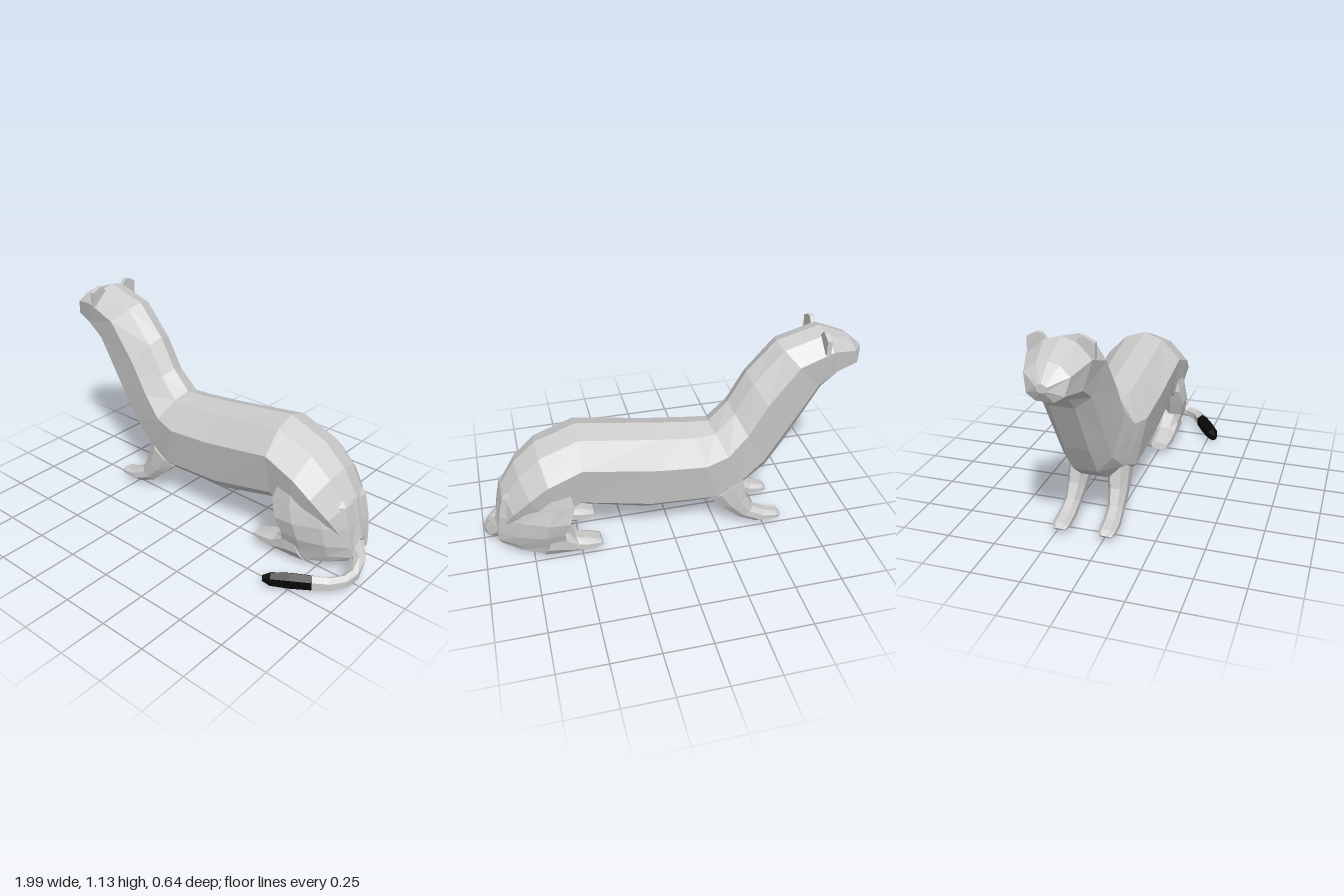
import * as THREE from 'three';

const MID = -0.1; // z of the body's midline
const grey = new THREE.MeshStandardMaterial({ color: 0xcccccc, flatShading: true });
const black = new THREE.MeshStandardMaterial({ color: 0x080808, flatShading: true });

// Closed skin over equal-length rings of Vector3, capped at both ends
function loft(name, rings, material = grey) {
  const n = rings[0].length, pos = [], idx = [];
  rings.forEach(r => r.forEach(p => pos.push(p.x, p.y, p.z)));
  for (let i = 0; i < rings.length - 1; i++) {
    for (let j = 0; j < n; j++) {
      const a = i * n + j, b = i * n + (j + 1) % n;
      idx.push(a, b, a + n, b, b + n, a + n);
    }
  }
  const last = (rings.length - 1) * n;
  for (let j = 1; j < n - 1; j++) {
    idx.push(0, j + 1, j, last, last + j, last + j + 1);
  }
  // Turn the faces outward if the enclosed volume comes out negative
  const at = i => new THREE.Vector3().fromArray(pos, i * 3);
  let volume = 0;
  for (let i = 0; i < idx.length; i += 3) {
    volume += at(idx[i]).dot(at(idx[i + 1]).cross(at(idx[i + 2])));
  }
  if (volume < 0) idx.reverse();
  const g = new THREE.BufferGeometry();
  g.setAttribute('position', new THREE.Float32BufferAttribute(pos, 3));
  g.setIndex(idx);
  g.computeVertexNormals();
  const mesh = new THREE.Mesh(g, material);
  mesh.name = name;
  return mesh;
}

// Half profiles: [share of the way from bottom to top, share of half-width]
const TORSO = [[1, 0], [0.92, 0.5], [0.67, 1], [0.17, 0.82], [0, 0.4]];
const LIMB = [[1, 0.5], [0.7, 1], [0.3, 1], [0, 0.5]];

// Ring from its top and bottom points in the xy plane, half-width, and the
// z offsets of the top and bottom points
function section([tx, ty, bx, by, w, tz = 0, bz = tz], profile, side = 1) {
  const point = (t, s) => new THREE.Vector3(
    bx + (tx - bx) * t, by + (ty - by) * t, MID + side * (bz + (tz - bz) * t) + s * w);
  const near = profile.map(([t, s]) => point(t, s));
  const far = profile.filter(p => p[1] > 0).map(([t, s]) => point(t, -s)).reverse();
  return [...near, ...far];
}

// Six-sided rings along a path of [x, y, z, radius]
function tailRings(path) {
  const pts = path.map(p => new THREE.Vector3(p[0], p[1], p[2]));
  return pts.map((p, i) => {
    const dir = pts[Math.min(i + 1, pts.length - 1)].clone()
      .sub(pts[Math.max(i - 1, 0)]).normalize();
    const across = new THREE.Vector3(0, 1, 0).cross(dir).normalize();
    const up = dir.clone().cross(across);
    return Array.from({ length: 6 }, (_, k) => {
      const a = (k + 0.5) * Math.PI / 3, r = path[i][3];
      return p.clone().addScaledVector(across, Math.cos(a) * r * 0.8)
        .addScaledVector(up, Math.sin(a) * r);
    });
  });
}

export function createModel() {
  const model = new THREE.Group();
  model.name = 'stoat';

  // Head, neck and trunk in one skin, from nose to rump
  const trunk = [
    [-1.0, 0.99, -1.0, 0.95, 0.025],
    [-0.92, 1.06, -0.97, 0.9, 0.105],
    [-0.77, 1.12, -0.86, 0.87, 0.15],
    [-0.55, 1.06, -0.79, 0.8, 0.153],
    [-0.4, 0.9, -0.63, 0.52, 0.153],
    [-0.31, 0.74, -0.52, 0.35, 0.155],
    [-0.21, 0.635, -0.4, 0.26, 0.175],
    [-0.1, 0.645, -0.25, 0.18, 0.203],
    [0.08, 0.67, 0.14, 0.2, 0.205],
    [0.48, 0.73, 0.49, 0.29, 0.212],
    [0.69, 0.65, 0.58, 0.25, 0.218],
    [0.8, 0.55, 0.64, 0.22, 0.205],
    [0.88, 0.42, 0.74, 0.18, 0.165],
    [0.93, 0.2, 0.89, 0.09, 0.065],
  ];
  model.add(loft('body', trunk.map(s => section(s, TORSO))));

  // Legs: front-edge point, rear-edge point, half-width, offsets of the edges
  const frontLeg = [
    [-0.37, 0.33, -0.2, 0.22, 0.06, 0.1],
    [-0.4, 0.2, -0.27, 0.15, 0.05, 0.11],
    [-0.44, 0.125, -0.36, 0.07, 0.04, 0.115],
    [-0.51, 0.09, -0.46, 0.025, 0.043, 0.12],
    [-0.58, 0.07, -0.55, 0.025, 0.043, 0.12],
    [-0.6, 0.047, -0.59, 0.035, 0.03, 0.12],
  ];
  // The haunch tapers inward toward the root of the tail
  const thigh = [
    [0.56, 0.5, 0.8, 0.48, 0.07, 0.145, 0.04],
    [0.53, 0.36, 0.88, 0.4, 0.078, 0.165, 0.05],
    [0.56, 0.27, 0.905, 0.29, 0.08, 0.18, 0.05],
    [0.59, 0.19, 0.92, 0.18, 0.075, 0.165, 0.045],
    [0.58, 0.1, 0.925, 0.12, 0.065, 0.14, 0.04],
    [0.62, 0.03, 0.9, 0.085, 0.05, 0.13, 0.04],
  ];
  const hindFoot = [
    [0.64, 0.2, 0.7, 0.04, 0.06, 0.125],
    [0.585, 0.185, 0.62, 0.035, 0.06, 0.125],
    [0.53, 0.12, 0.5, 0.025, 0.058, 0.12],
    [0.46, 0.1, 0.45, 0.03, 0.056, 0.12],
    [0.4, 0.08, 0.39, 0.042, 0.045, 0.12],
  ];
  const earPoints = [
    [0.065, 1.03], [0.155, 1.03], [0.155, 1.105], [0.105, 1.13], [0.085, 1.125], [0.06, 1.09],
  ];

  for (const [label, side] of [['left', 1], ['right', -1]]) {
    // The animal faces -x, so its own left side lies toward +z
    for (const [part, rows] of Object.entries({ frontLeg, thigh, hindFoot })) {
      model.add(loft(`${label} ${part}`, rows.map(s => section(s, LIMB, side))));
    }
    // Thin upright ear plate
    const shape = new THREE.Shape(earPoints.map(([z, y]) => new THREE.Vector2(side * z, y)));
    const ear = new THREE.Mesh(
      new THREE.ExtrudeGeometry(shape, { depth: 0.024, bevelEnabled: false }), grey);
    ear.name = `${label} ear`;
    ear.rotation.y = -Math.PI / 2;
    ear.position.set(-0.755, 0, MID);
    model.add(ear);
  }

  // Tail curling round to the side, with its dark tip
  model.add(loft('tail', tailRings([
    [0.9, 0.165, -0.1, 0.05],
    [0.95, 0.105, -0.06, 0.045],
    [0.968, 0.065, 0.01, 0.036],
    [0.955, 0.05, 0.07, 0.036],
    [0.91, 0.048, 0.135, 0.038],
    [0.84, 0.047, 0.18, 0.042],
  ])));
  model.add(loft('tailTip', tailRings([
    [0.84, 0.047, 0.18, 0.043],
    [0.75, 0.046, 0.235, 0.046],
    [0.67, 0.045, 0.285, 0.04],
    [0.635, 0.045, 0.305, 0.017],
  ]), black));

  return model;
}
